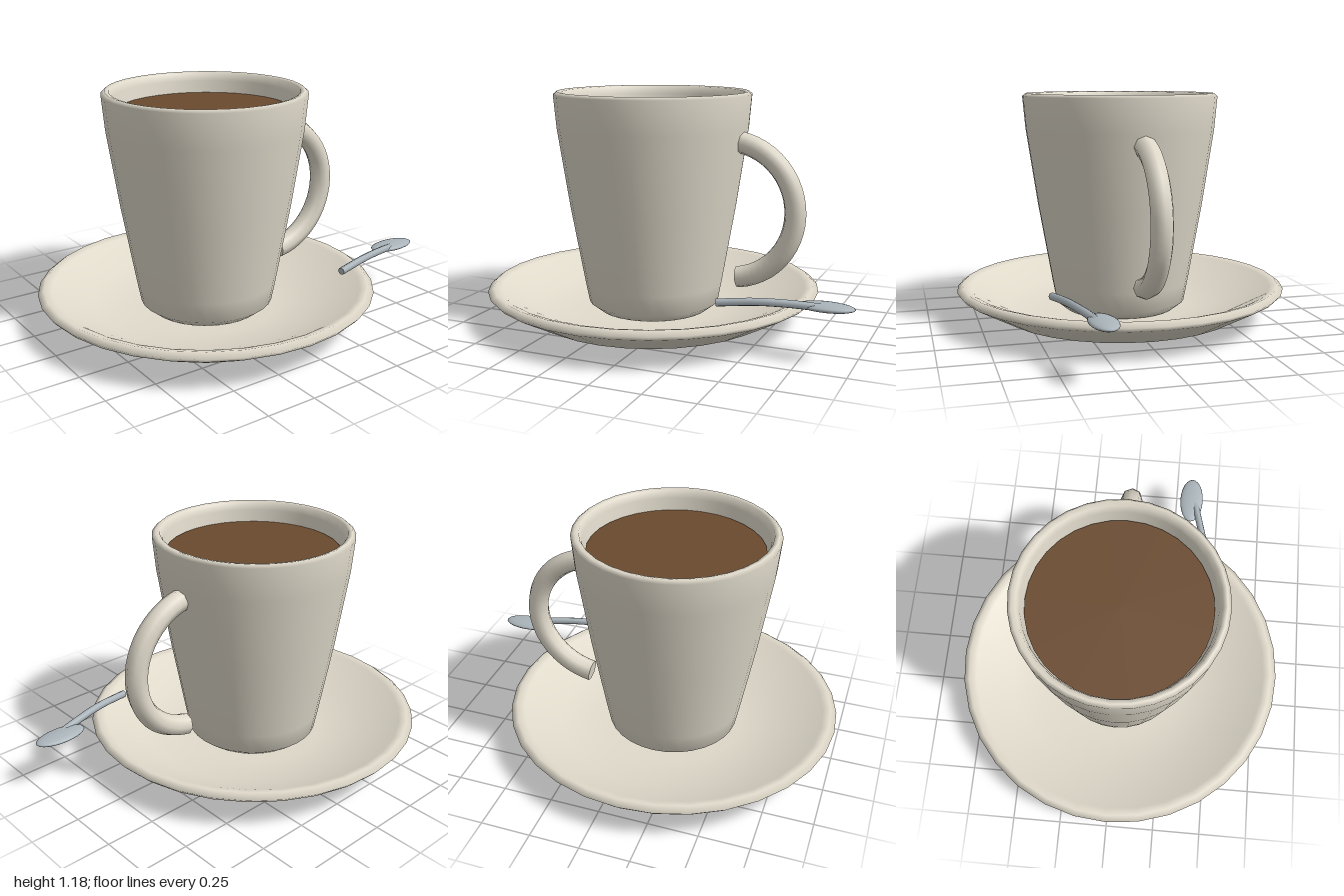
import * as THREE from 'three';

const CUP_X = -0.14;

export function createModel() {
  const model = new THREE.Group();
  model.name = 'cupAndSaucer';

  const material = (name, color) => {
    const m = new THREE.MeshStandardMaterial({ color });
    m.name = name;
    return m;
  };
  const ceramic = material('creamCeramic', 0xe0dacb);
  const coffee = material('coffeeBrown', 0x6a4a2f);
  const steel = material('spoonSteel', 0xaab4ba);

  const add = (name, geometry, mat, x = 0, y = 0, z = 0, parent = model) => {
    const mesh = new THREE.Mesh(geometry, mat);
    mesh.name = name;
    mesh.position.set(x, y, z);
    parent.add(mesh);
    return mesh;
  };
  const lathe = (profile) =>
    new THREE.LatheGeometry(profile.map(([r, y]) => new THREE.Vector2(r, y)), 32);

  // Saucer: underside outwards, over the rim, back to the well
  add('saucer', lathe([
    [0, 0], [0.34, 0], [0.63, 0.035], [0.84, 0.15], [0.86, 0.172], [0.83, 0.195],
    [0.79, 0.183], [0.6, 0.09], [0.36, 0.05], [0, 0.05],
  ]), ceramic, CUP_X);

  // Cup: outer wall up, over the lip, down the inner wall
  add('cup', lathe([
    [0, 0.055], [0.29, 0.055], [0.34, 0.095], [0.36, 0.2], [0.43, 0.6], [0.49, 1.0],
    [0.505, 1.17], [0.487, 1.185], [0.465, 1.18], [0.452, 1.14], [0.435, 1.0],
    [0.31, 0.16], [0, 0.14],
  ]), ceramic, CUP_X);

  // Coffee surface
  const surface = new THREE.CircleGeometry(0.438, 32);
  surface.rotateX(-Math.PI / 2);
  add('coffee', surface, coffee, CUP_X, 1.08);

  // Handle: part ring with closed ends
  const R = 0.348, tube = 0.055, half = THREE.MathUtils.degToRad(81);
  const handle = new THREE.Group();
  handle.name = 'handle';
  handle.position.set(0.27, 0.6, 0);
  model.add(handle);
  const ring = add('handleRing', new THREE.TorusGeometry(R, tube, 8, 24, half * 2), ceramic, 0, 0, 0, handle);
  ring.rotation.z = -half;
  for (const side of [-1, 1]) {
    const a = side * half;
    const cap = add('handleEnd', new THREE.CircleGeometry(tube, 8), ceramic,
      R * Math.cos(a), R * Math.sin(a), 0, handle);
    cap.lookAt(handle.position.clone().add(cap.position)
      .add(new THREE.Vector3(-Math.sin(a) * side, Math.cos(a) * side, 0)));
  }

  // Spoon: slim bent stem and flattened bowl
  const spoon = new THREE.Group();
  spoon.name = 'spoon';
  model.add(spoon);
  const path = new THREE.CatmullRomCurve3([
    [0.378, 0.258, 0.46], [0.56, 0.272, 0.422], [0.72, 0.268, 0.382], [0.84, 0.258, 0.352],
  ].map((p) => new THREE.Vector3(...p)));
  add('spoonStem', new THREE.TubeGeometry(path, 12, 0.019, 8), steel, 0, 0, 0, spoon);
  const stemEnd = add('spoonStemEnd', new THREE.CircleGeometry(0.019, 8), steel, 0.378, 0.258, 0.46, spoon);
  stemEnd.lookAt(path.getPointAt(0).sub(path.getTangentAt(0)));
  const bowl = new THREE.SphereGeometry(1, 24, 12);
  bowl.scale(0.135, 0.02, 0.065);
  add('spoonBowl', bowl, steel, 0.86, 0.257, 0.33, spoon);

  return model;
}
